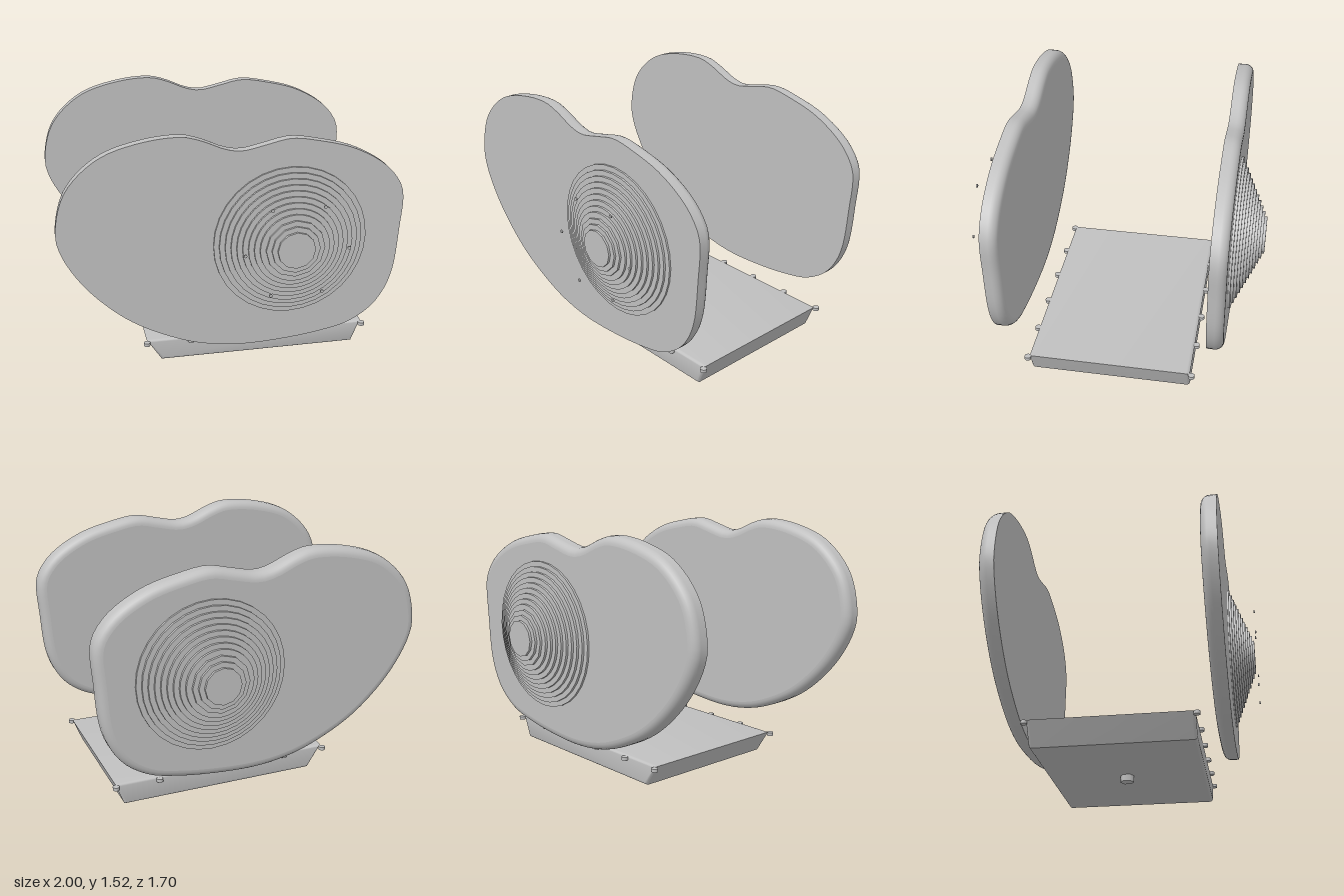
import * as THREE from 'three';
import { toCreasedNormals } from 'three/addons/utils/BufferGeometryUtils.js';

const metal = new THREE.MeshStandardMaterial({ color: 0xc0c0c0 });
metal.name = 'grey metal';

// Cover outline, counter-clockwise from the front
const OUTLINE = [
  [-1, 1.0], [-0.98, 0.89], [-0.9, 0.735], [-0.77, 0.575], [-0.58, 0.415], [-0.31, 0.28], [-0.13, 0.23],
  [0.06, 0.21], [0.33, 0.222], [0.54, 0.25], [0.7, 0.29], [0.84, 0.38], [0.92, 0.49], [0.965, 0.62],
  [0.99, 0.89], [1, 1.08], [0.98, 1.16], [0.89, 1.275], [0.7, 1.39], [0.49, 1.45], [0.32, 1.475],
  [0.17, 1.445], [0.04, 1.42], [-0.05, 1.435], [-0.18, 1.49], [-0.29, 1.52], [-0.53, 1.5],
  [-0.76, 1.42], [-0.94, 1.24],
];
const HUB = [0.33, 0.86];

function mesh(name, geometry, x = 0, y = 0, z = 0) {
  const m = new THREE.Mesh(geometry, metal);
  m.name = name;
  m.position.set(x, y, z);
  return m;
}

// Cylinder whose axis runs along z, sharp at the rims
function disc(radius, depth, sides) {
  const g = new THREE.CylinderGeometry(radius, radius, depth, sides);
  return g.rotateX(Math.PI / 2);
}

// Flat-backed cover, sharp at +z and rounded at -z
function cover(name, zFront, zBack) {
  const group = new THREE.Group();
  group.name = name;
  const n = 112, round = 0.05;
  const curve = new THREE.CatmullRomCurve3(
    OUTLINE.map(([x, y]) => new THREE.Vector3(x, y, 0)), true, 'centripetal');
  const pts = curve.getSpacedPoints(n).slice(0, n);
  const ring = (inset) => pts.map((p, i) => {
    const t = pts[(i + 1) % n].clone().sub(pts[(i + n - 1) % n]).normalize();
    return new THREE.Vector2(p.x - t.y * inset, p.y + t.x * inset);
  });

  // Wall sections: straight edge followed by a quarter round
  const sections = [[0, zFront]];
  for (let k = 0; k <= 6; k++) {
    const a = (k / 6) * Math.PI / 2;
    sections.push([round * (1 - Math.cos(a)), zBack + round * (1 - Math.sin(a))]);
  }
  const position = [], index = [];
  sections.forEach(([inset, z], j) => {
    ring(inset).forEach((p) => position.push(p.x, p.y, z));
    if (j === 0) return;
    for (let i = 0; i < n; i++) {
      const a = (j - 1) * n + i, b = (j - 1) * n + (i + 1) % n;
      index.push(a, a + n, b, b, a + n, b + n);
    }
  });
  const wall = new THREE.BufferGeometry();
  wall.setAttribute('position', new THREE.Float32BufferAttribute(position, 3));
  wall.setIndex(index);
  wall.computeVertexNormals();

  const front = new THREE.ShapeGeometry(new THREE.Shape(ring(0)));
  const back = new THREE.ShapeGeometry(new THREE.Shape(ring(round)));
  back.index.array.reverse();
  back.computeVertexNormals();
  group.add(mesh('coverEdge', wall), mesh('coverFrontFace', front, 0, 0, zFront),
    mesh('coverBackFace', back, 0, 0, zBack));
  return group;
}

// Stack of shrinking discs rising from a cover; dir is the sign of z
function steppedDome(name, zBase, zTop) {
  const group = new THREE.Group();
  group.name = name;
  const steps = 12;
  for (let i = 0; i < steps; i++) {
    const radius = 0.45 - 0.34 * (i / (steps - 1));
    const z = zBase + (zTop - zBase) * ((i + 1) / steps);
    const depth = Math.abs(z - zBase) + 0.01;
    const sides = radius > 0.2 ? 32 : 12;
    group.add(mesh('domeStep', disc(radius, depth, sides), HUB[0], HUB[1], z - Math.sign(zTop) * depth / 2));
  }
  return group;
}

// Tapered pan with softened ends
function pan() {
  const shape = new THREE.Shape([[-0.4, 0.04], [0.805, 0.04], [0.86, 0.18], [-0.49, 0.18]]
    .map(([x, y]) => new THREE.Vector2(x, y)));
  const bevel = 0.02, length = 0.975;
  const g = new THREE.ExtrudeGeometry(shape, {
    depth: length - 2 * bevel, bevelThickness: bevel, bevelSize: bevel, bevelOffset: -bevel, bevelSegments: 4,
  });
  g.translate(0, 0, bevel - length / 2 + 0.005);
  return mesh('pan', toCreasedNormals(g, 0.6));
}

export function createModel() {
  const model = new THREE.Group();
  model.name = 'enginePanels';

  // Two side covers with stepped domes
  model.add(cover('frontCover', 0.682, 0.585), cover('backCover', -0.573, -0.67));
  model.add(steppedDome('frontDome', 0.68, 0.833), steppedDome('backDome', -0.668, -0.85));

  // Ring of small bolts before the front dome
  for (let i = 0; i < 6; i++) {
    const a = i * Math.PI / 3;
    model.add(mesh('domeBolt', disc(0.01, 0.008, 8),
      HUB[0] + 0.3 * Math.cos(a), HUB[1] + 0.3 * Math.sin(a), 0.846));
  }

  // Pan, its rim bolts and drain plug
  model.add(pan());
  for (const z of [-0.493, 0.5]) {
    for (let i = 0; i < 6; i++) {
      model.add(mesh('rimBolt', new THREE.CylinderGeometry(0.02, 0.02, 0.02, 12), -0.49 + 0.27 * i, 0.165, z));
    }
  }
  model.add(mesh('drainPlug', new THREE.CylinderGeometry(0.043, 0.043, 0.05, 6), 0.185, 0.025, 0.005));
  return model;
}
